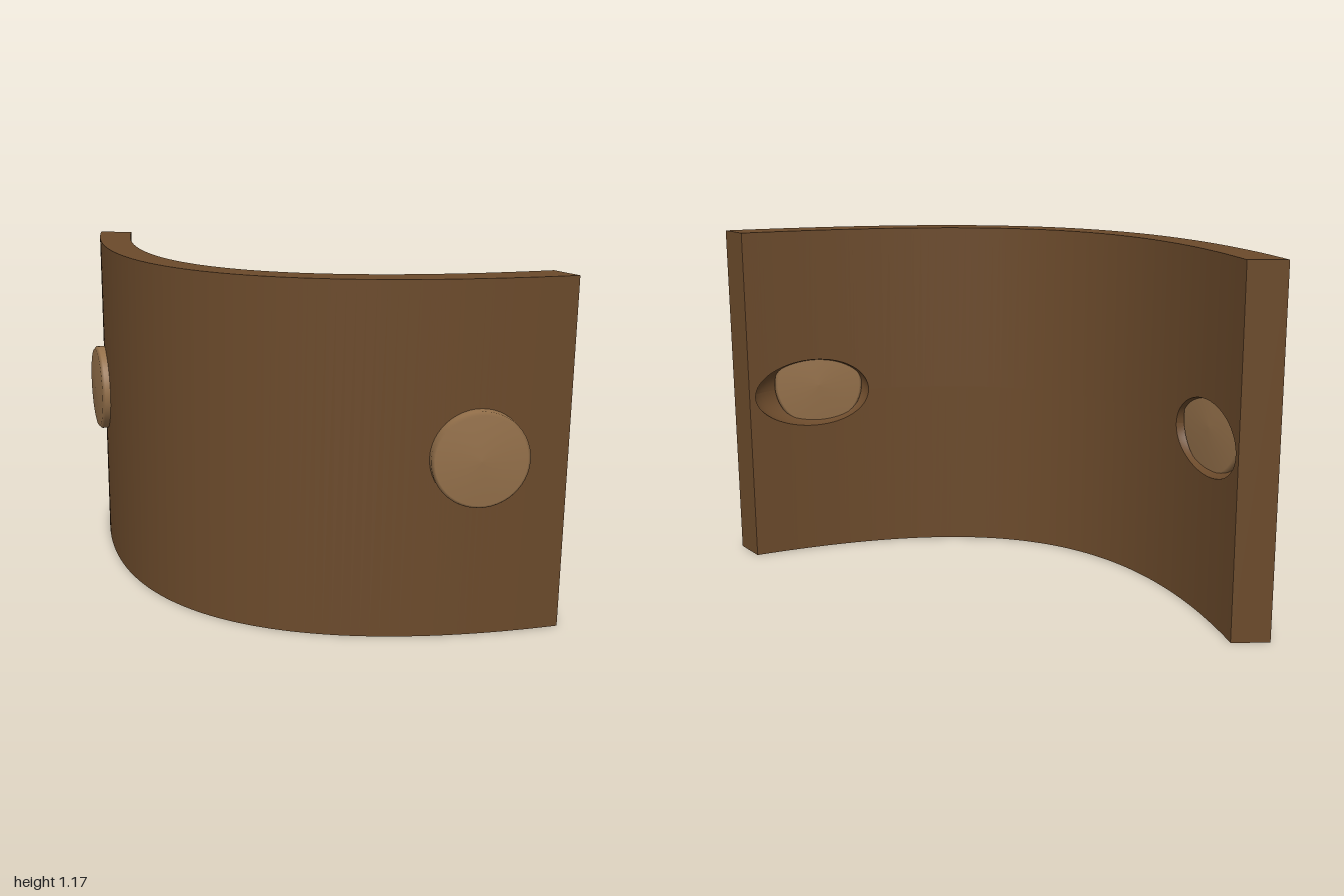
import * as THREE from 'three';

const H = 1.175, SLOT_Y = 0.59, SLOT_T = 0.825, SLOT_RT = 0.16, SLOT_RY = 0.122;

// Point in the bent panel: t runs side to side, w from the inner face (0) to the outer face (1)
function panelPoint(t, y, w) {
  const x = THREE.MathUtils.lerp(0.89, 1, w) * t;
  const z = THREE.MathUtils.lerp(0.23 - 0.565 * t * t, 0.33 - 0.61 * t * t, w);
  return [x, y, z];
}

// Surface through f(u, v) sampled at the listed parameters; its front is du x dv
function grid(us, vs, f) {
  const pos = [], idx = [], n = vs.length;
  us.forEach((u) => vs.forEach((v) => pos.push(...f(u, v))));
  for (let i = 0; i < us.length - 1; i++) {
    for (let j = 0; j < n - 1; j++) {
      const a = i * n + j, b = a + n;
      idx.push(a, b, b + 1, a, b + 1, a + 1);
    }
  }
  const g = new THREE.BufferGeometry();
  g.setAttribute('position', new THREE.Float32BufferAttribute(pos, 3));
  g.setIndex(idx);
  g.computeVertexNormals();
  return g;
}

const steps = (a, b, n) => Array.from({ length: n + 1 }, (_, i) => a + (b - a) * i / n);

// Half height of the slot opening at column t
function slotHalf(t) {
  const k = (Math.abs(t) - SLOT_T) / SLOT_RT;
  return SLOT_RY * Math.sqrt(Math.max(0, 1 - k * k));
}

export function createModel() {
  const model = new THREE.Group();
  const brown = new THREE.MeshStandardMaterial({ color: 0x6b4a2b });
  const tan = new THREE.MeshStandardMaterial({ color: 0x94704a });
  const add = (parent, name, geometry, material) => {
    const mesh = new THREE.Mesh(geometry, material);
    mesh.name = name;
    parent.add(mesh);
    return mesh;
  };

  // Bent panel, with columns gathered towards the slot ends
  const panel = new THREE.Group();
  panel.name = 'curvedPanel';
  model.add(panel);
  const slotCols = steps(0, Math.PI, 32).map((a) => SLOT_T - SLOT_RT * Math.cos(a));
  const right = slotCols.concat(1);
  const cols = [...right.map((t) => -t).reverse(), ...steps(-0.64, 0.64, 48), ...right];
  const back = [...cols].reverse();

  add(panel, 'outerFace', grid(cols, [0, H], (t, y) => panelPoint(t, y, 1)), brown);
  add(panel, 'innerFaceLower', grid(back, [0, 1],
    (t, v) => panelPoint(t, v * (SLOT_Y - slotHalf(t)), 0)), brown);
  add(panel, 'innerFaceUpper', grid(back, [0, 1],
    (t, v) => panelPoint(t, THREE.MathUtils.lerp(SLOT_Y + slotHalf(t), H, v), 0)), brown);
  add(panel, 'topEdge', grid(cols, [0, 1], (t, v) => panelPoint(t, H, 1 - v)), brown);
  add(panel, 'bottomEdge', grid(cols, [0, 1], (t, w) => panelPoint(t, 0, w)), brown);
  add(panel, 'leftEnd', grid([0, H], [0, 1], (y, w) => panelPoint(1, y, w)), brown);
  add(panel, 'rightEnd', grid([0, 1], [0, H], (w, y) => panelPoint(-1, y, w)), brown);

  // Disc with slightly rounded rims, smoothly shaded
  const disc = new THREE.LatheGeometry([
    [0, -0.065], [0.148, -0.06], [0.158, -0.05], [0.158, 0.05], [0.148, 0.06], [0, 0.065],
  ].map(([r, y]) => new THREE.Vector2(r, y)), 48);

  for (const side of [-1, 1]) {
    const name = side > 0 ? 'left' : 'right';

    // Hollow elliptical slot in the inner face
    const bowl = grid(steps(0, Math.PI * 2, 64), steps(0, Math.PI / 2, 12).map(Math.sin), (a, r) =>
      panelPoint(side * SLOT_T + SLOT_RT * r * Math.cos(a), SLOT_Y + SLOT_RY * r * Math.sin(a),
        0.92 * Math.sqrt(Math.max(0, 1 - r * r))));
    add(panel, name + 'Slot', bowl, brown);

    // Button set through the panel, square to its surface
    const normal = new THREE.Vector3(side * 0.63, 0, 0.78).normalize();
    const button = add(model, name + 'Button', disc, tan);
    button.position.set(side > 0 ? 0.785 : -0.77, side > 0 ? 0.608 : 0.615, -0.065);
    button.quaternion.setFromUnitVectors(new THREE.Vector3(0, 1, 0), normal);
  }
  return model;
}
